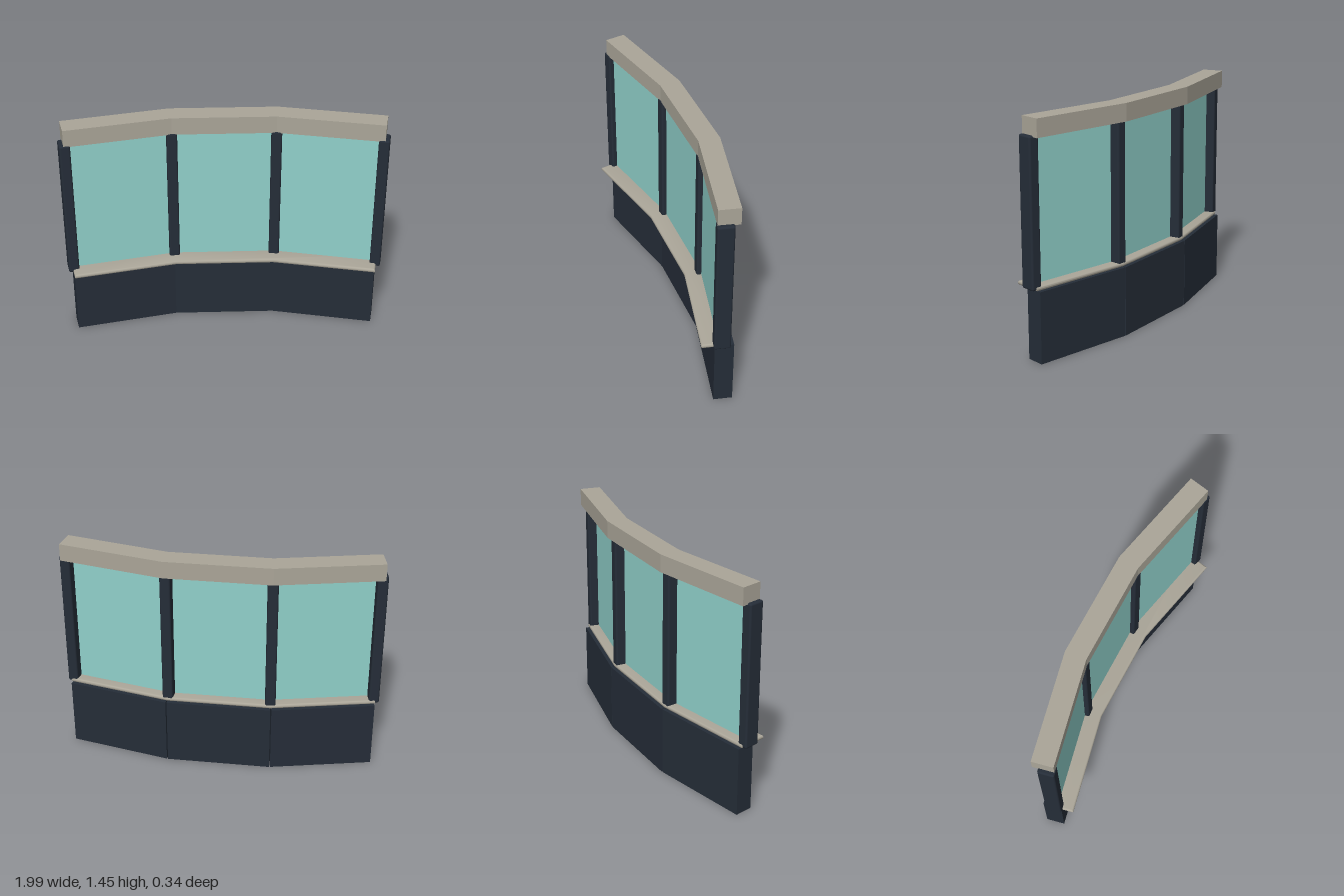
import * as THREE from 'three';
import { RoundedBoxGeometry } from 'three/addons/geometries/RoundedBoxGeometry.js';
import { toCreasedNormals } from 'three/addons/utils/BufferGeometryUtils.js';

const ANGLE = THREE.MathUtils.degToRad(12.1); // how far each wing turns forward
const JOINT = { x: 0.32, z: -0.085 };         // centreline bend
const END = { x: 0.955, z: 0.052 };           // centreline end

// Plan points at distance d in front of the centreline
const bend = (d, gap = 0) => [JOINT.x - d * Math.tan(ANGLE / 2) + gap, JOINT.z + d + gap * Math.tan(ANGLE)];
const tip = (d, extra = 0) => [
  END.x - d * Math.sin(ANGLE) + extra * Math.cos(ANGLE),
  END.z + d * Math.cos(ANGLE) + extra * Math.sin(ANGLE),
];
const flip = ([x, z]) => [-x, z];

// Closed plan outlines
const wholePlan = (back, front, extra) => [
  flip(tip(front, extra)), flip(bend(front)), bend(front), tip(front, extra),
  tip(back, extra), bend(back), flip(bend(back)), flip(tip(back, extra)),
];
const middlePlan = (back, front) => [flip(bend(front)), bend(front), bend(back), flip(bend(back))];
const wingPlan = (back, front, backGap) => [bend(front), tip(front), tip(back), bend(back, backGap)];
const mirrorPlan = (plan) => plan.map(flip).reverse();

// Raise a plan outline from y0 to y1, with optional rounded edges
function raise(plan, y0, y1, round = 0) {
  const shape = new THREE.Shape(plan.map(([x, z]) => new THREE.Vector2(x, -z)));
  const geo = new THREE.ExtrudeGeometry(shape, {
    depth: y1 - y0 - 2 * round,
    bevelEnabled: round > 0,
    bevelThickness: round,
    bevelSize: round,
    bevelOffset: -round,
    bevelSegments: 4,
  });
  geo.rotateX(-Math.PI / 2).translate(0, y0 + round, 0);
  return round > 0 ? toCreasedNormals(geo, 0.6) : geo;
}

export function createModel() {
  const group = new THREE.Group();
  const dark = new THREE.MeshStandardMaterial({ color: 0x252d38 });
  const stone = new THREE.MeshStandardMaterial({ color: 0xaaa598 });
  const glass = new THREE.MeshStandardMaterial({ color: 0x90d0ca });

  const add = (name, geo, material) => {
    const mesh = new THREE.Mesh(geo, material);
    mesh.name = name;
    group.add(mesh);
    return mesh;
  };

  // Three lower wall panels, with a narrow seam open at the back
  const wing = wingPlan(-0.075, 0.04, 0.007);
  add('baseMiddle', raise(middlePlan(-0.075, 0.04), 0, 0.44), dark);
  add('baseLeft', raise(wing, 0, 0.44), dark);
  add('baseRight', raise(mirrorPlan(wing), 0, 0.44), dark);

  // Rounded sill and square header beam
  add('sill', raise(wholePlan(-0.055, 0.12, 0.007), 0.438, 0.465, 0.012), stone);
  add('headerBeam', raise(wholePlan(-0.085, 0.045, 0.007), 1.335, 1.445), stone);

  // Glass panes
  const pane = wingPlan(0.008, 0.018, 0);
  add('glassMiddle', raise(middlePlan(0.008, 0.018), 0.455, 1.34), glass);
  add('glassLeft', raise(pane, 0.455, 1.34), glass);
  add('glassRight', raise(mirrorPlan(pane), 0.455, 1.34), glass);

  // Posts at the two bends and the two ends
  for (const side of [1, -1]) {
    for (const [name, at, turn] of [['middlePost', JOINT, ANGLE / 2], ['endPost', END, ANGLE]]) {
      const post = add(name + (side > 0 ? 'Left' : 'Right'),
        new RoundedBoxGeometry(0.066, 0.9, 0.1, 3, 0.012), dark);
      post.position.set(side * at.x, 0.893, at.z);
      post.rotation.y = -side * turn;
    }
  }
  return group;
}
